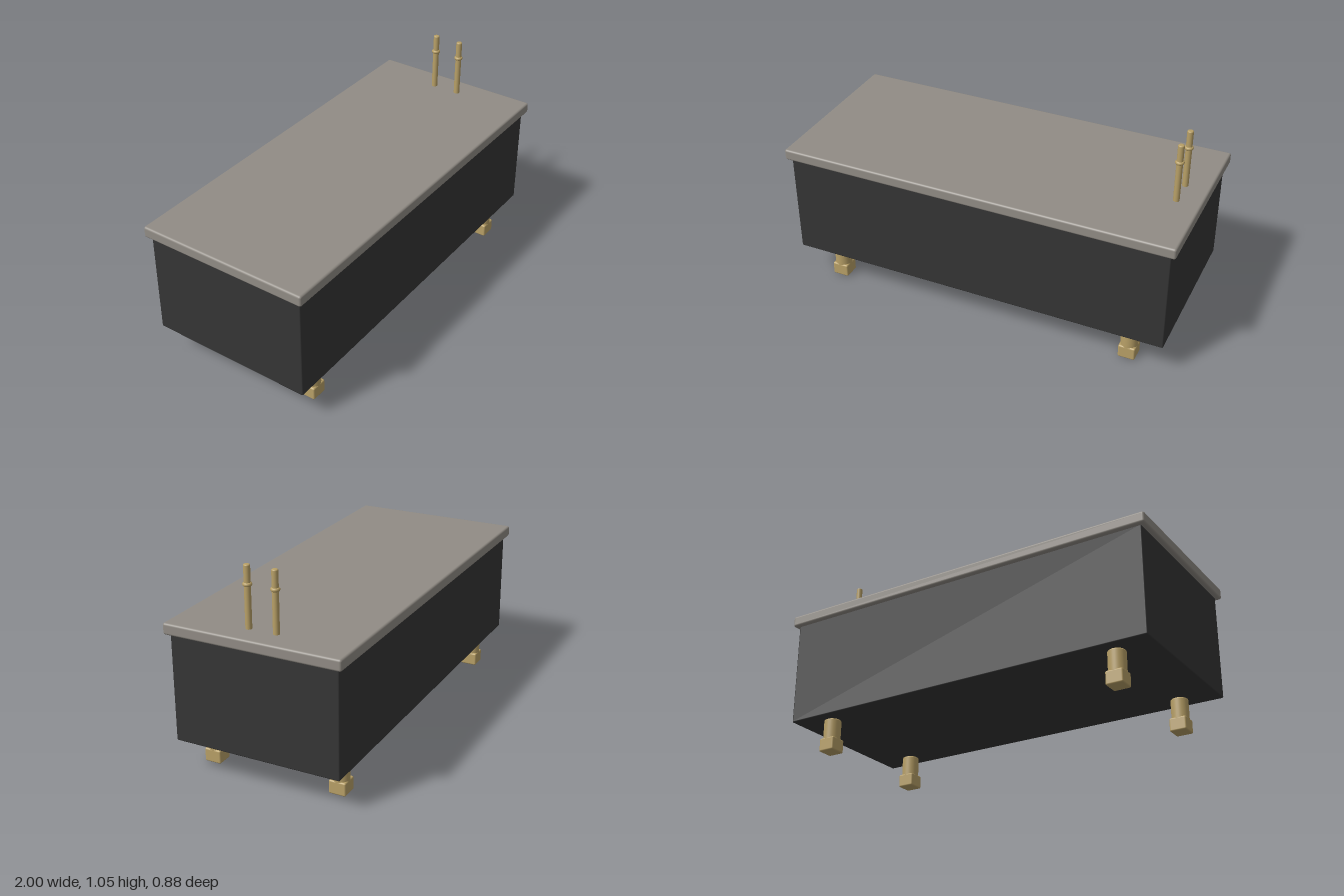
import * as THREE from 'three';
import { RoundedBoxGeometry } from 'three/addons/geometries/RoundedBoxGeometry.js';

export function createModel() {
  const model = new THREE.Group();
  model.name = 'longChest';

  const charcoal = new THREE.MeshStandardMaterial({ name: 'charcoal', color: 0x353535 });
  const stone = new THREE.MeshStandardMaterial({ name: 'stone', color: 0x918c85 });
  const brass = new THREE.MeshStandardMaterial({ name: 'brass', color: 0xb8a067 });

  const add = (parent, name, geometry, material, x = 0, y = 0, z = 0) => {
    const mesh = new THREE.Mesh(geometry, material);
    mesh.name = name;
    mesh.position.set(x, y, z);
    parent.add(mesh);
    return mesh;
  };

  // Solid of revolution, closed, with rounded rims of radius b
  const roundedCylinder = (r, h, b, segments = 32) => {
    const points = [new THREE.Vector2(0, 0)];
    for (let i = 0; i <= 4; i++) {
      const a = (i / 4) * Math.PI / 2;
      points.push(new THREE.Vector2(r - b + b * Math.sin(a), b - b * Math.cos(a)));
    }
    for (let i = 0; i <= 4; i++) {
      const a = (i / 4) * Math.PI / 2;
      points.push(new THREE.Vector2(r - b + b * Math.cos(a), h - b + b * Math.sin(a)));
    }
    points.push(new THREE.Vector2(0, h));
    return new THREE.LatheGeometry(points, segments);
  };

  // Cabinet and overhanging top slab
  add(model, 'cabinet', new RoundedBoxGeometry(1.95, 0.535, 0.836, 3, 0.006), charcoal, 0, 0.4345, 0);
  add(model, 'topSlab', new RoundedBoxGeometry(2, 0.056, 0.882, 4, 0.011), stone, 0, 0.722, 0);

  // Four feet: round post standing in a square shoe
  const postGeometry = roundedCylinder(0.0425, 0.161, 0.008);
  const shoeGeometry = new RoundedBoxGeometry(0.085, 0.068, 0.085, 3, 0.008);
  for (const x of [-0.787, 0.787]) {
    for (const z of [-0.328, 0.328]) {
      const foot = new THREE.Group();
      foot.name = 'foot';
      foot.position.set(x, 0, z);
      add(foot, 'footPost', postGeometry, brass, 0, 0.006, 0);
      add(foot, 'footShoe', shoeGeometry, brass, 0, 0.034, 0);
      model.add(foot);
    }
  }

  // Pair of upright rods with collars
  const rodGeometry = roundedCylinder(0.0152, 0.305, 0.006, 24);
  const collarGeometry = roundedCylinder(0.0215, 0.018, 0.008, 24);
  for (const z of [-0.069, 0.069]) {
    const rod = new THREE.Group();
    rod.name = 'uprightRod';
    rod.position.set(0.881, 0, z);
    add(rod, 'rodShaft', rodGeometry, brass, 0, 0.741, 0);
    add(rod, 'rodCollar', collarGeometry, brass, 0, 0.946, 0);
    model.add(rod);
  }

  return model;
}
